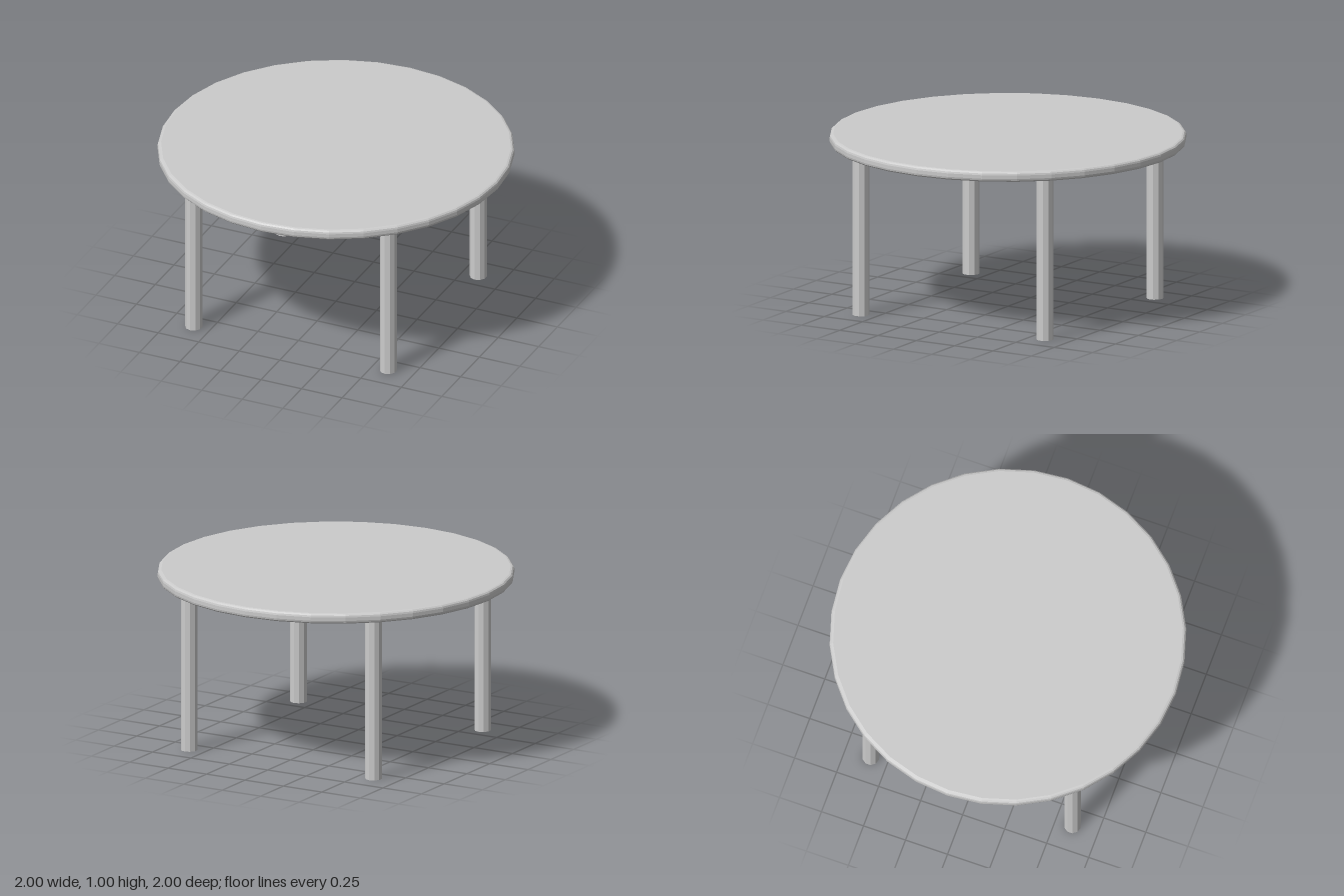
import * as THREE from 'three';

export function createModel() {
  const group = new THREE.Group();
  const material = new THREE.MeshStandardMaterial({ color: 0xcccccc, flatShading: true });

  // Round top with a softly bevelled rim
  const top = 1, bottom = 0.94, bevel = 0.02;
  const profile = [new THREE.Vector2(0, bottom)];
  for (const [centre, start] of [[bottom + bevel, -Math.PI / 2], [top - bevel, 0]]) {
    for (let i = 0; i <= 3; i++) {
      const a = start + (i / 3) * Math.PI / 2;
      profile.push(new THREE.Vector2(1 - bevel + bevel * Math.cos(a), centre + bevel * Math.sin(a)));
    }
  }
  profile.push(new THREE.Vector2(0, top));
  const tableTop = new THREE.Mesh(new THREE.LatheGeometry(profile, 32), material);
  tableTop.name = 'tableTop';
  group.add(tableTop);

  // Four ten-sided legs
  const legGeometry = new THREE.CylinderGeometry(0.048, 0.048, bottom, 10);
  for (const x of [-0.6, 0.6]) {
    for (const z of [-0.6, 0.6]) {
      const leg = new THREE.Mesh(legGeometry, material);
      leg.name = (z > 0 ? 'front' : 'back') + (x > 0 ? 'Left' : 'Right') + 'Leg';
      leg.position.set(x, bottom / 2, z);
      group.add(leg);
    }
  }
  return group;
}
